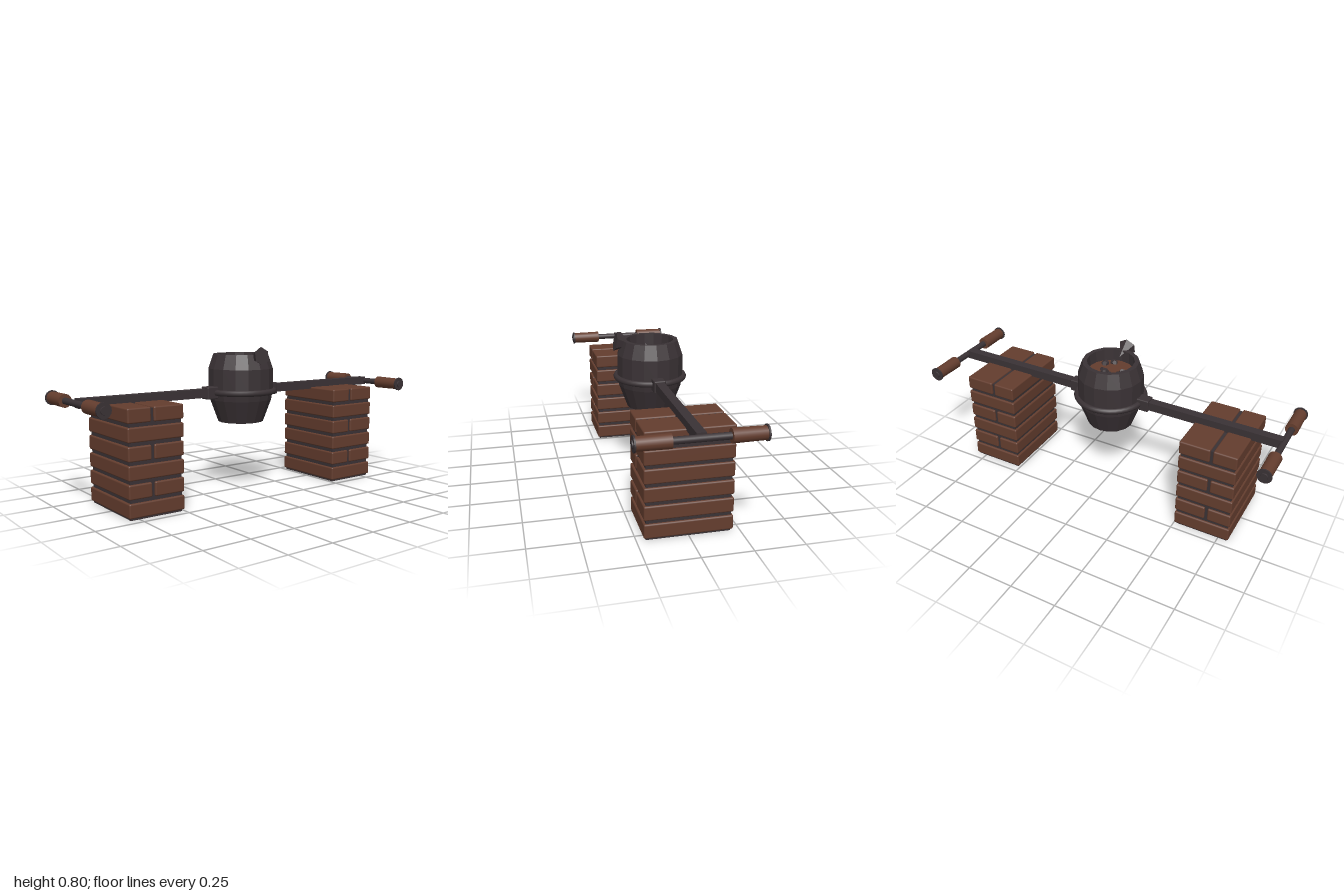
import * as THREE from 'three';
import { RoundedBoxGeometry } from 'three/addons/geometries/RoundedBoxGeometry.js';

export function createModel() {
  const root = new THREE.Group();
  const brick = new THREE.MeshStandardMaterial({ color: 0x643d2e });
  brick.name = 'red brown';
  const iron = new THREE.MeshStandardMaterial({ color: 0x3a3235 });
  iron.name = 'dark iron';
  const ironFacet = iron.clone();
  ironFacet.name = 'dark iron faceted';
  ironFacet.flatShading = true;

  const add = (parent, name, geo, mat, x = 0, y = 0, z = 0) => {
    const m = new THREE.Mesh(geo, mat);
    m.name = name;
    m.position.set(x, y, z);
    parent.add(m);
    return m;
  };

  // Brick pillars: full rows alternate with rows split into two bricks
  const W = 0.305, D = 0.432, H = 0.073, PITCH = 0.091, GAP = 0.016, SPLIT = -0.019;
  const makeBrick = (parent, x0, x1, y) => add(parent, 'brick',
    new RoundedBoxGeometry(x1 - x0, H, D, 2, 0.008), brick, (x0 + x1) / 2, y, 0);
  for (const x of [-0.655, 0.655]) {
    const pillar = new THREE.Group();
    pillar.name = 'brickPillar';
    pillar.position.x = x;
    add(pillar, 'mortarCore', new THREE.BoxGeometry(W - 0.022, 0.53, D - 0.022), iron, 0, 0.265, 0);
    for (let row = 0; row < 6; row++) {
      const y = 0.01 + H / 2 + row * PITCH;
      if (row % 2 === 0) makeBrick(pillar, -W / 2, W / 2, y);
      else {
        makeBrick(pillar, -W / 2, SPLIT - GAP / 2, y);
        makeBrick(pillar, SPLIT + GAP / 2, W / 2, y);
      }
    }
    root.add(pillar);
  }

  // Carrying arms with crossbars and hand grips
  const AXIS = 0.551;
  for (const s of [-1, 1]) {
    const arm = new THREE.Group();
    arm.name = s > 0 ? 'leftArm' : 'rightArm';
    add(arm, 'beam', new THREE.BoxGeometry(0.77, 0.046, 0.046), iron, s * 0.575, AXIS + 0.001, 0);
    add(arm, 'collar', new RoundedBoxGeometry(0.07, 0.066, 0.062, 2, 0.006), iron, s * 0.203, AXIS, 0);
    add(arm, 'crossbar', new THREE.CylinderGeometry(0.017, 0.017, 0.4, 12), iron, s * 0.962, AXIS, 0)
      .rotation.x = Math.PI / 2;
    for (const e of [-1, 1]) {
      const handle = new THREE.Group();
      handle.name = 'handle';
      handle.position.set(s * 0.962, AXIS, 0);
      handle.rotation.x = e * Math.PI / 2;
      add(handle, 'grip', new THREE.CylinderGeometry(0.032, 0.034, 0.158, 20), brick, 0, 0.211, 0);
      add(handle, 'endCap', new THREE.CylinderGeometry(0.038, 0.038, 0.008, 16), iron, 0, 0.294, 0);
      add(handle, 'endStud', new THREE.CylinderGeometry(0.018, 0.02, 0.008, 12), iron, 0, 0.3, 0);
      arm.add(handle);
    }
    root.add(arm);
  }

  // Mixing drum: faceted shell with an open, hollow top
  const drum = new THREE.Group();
  drum.name = 'drum';
  const profile = [
    [0, 0.383], [0.125, 0.383], [0.17, 0.505], [0.179, 0.56], [0.178, 0.675],
    [0.151, 0.753], [0.127, 0.753], [0.124, 0.66],
  ].map(([r, y]) => new THREE.Vector2(r, y));
  add(drum, 'drumShell', new THREE.LatheGeometry(profile, 16), ironFacet);
  add(drum, 'drumRing', new THREE.TorusGeometry(0.183, 0.016, 8, 40), iron, 0, AXIS, 0)
    .rotation.x = Math.PI / 2;

  // Mix inside the drum with loose stones on top
  add(drum, 'mix', new THREE.CylinderGeometry(0.125, 0.125, 0.02, 16), brick, 0, 0.68, 0);
  const stones = [
    [-0.055, -0.022, 0.025], [-0.065, 0.01, 0.024], [0.02, -0.026, 0.023], [0.037, -0.018, 0.022],
    [-0.01, -0.032, 0.016], [0.025, 0.083, 0.022], [0.065, 0.055, 0.024],
  ];
  stones.forEach(([x, z, r], i) => {
    const stone = add(drum, 'stone', new THREE.DodecahedronGeometry(r, 0), ironFacet, x, 0.692, z);
    stone.rotation.set(i, i * 1.7, i * 0.6);
    stone.scale.y = 0.7;
  });

  // Hexagonal pouring spout, its wide end facing forward and slightly up
  const spout = new THREE.ConeGeometry(0.05, 0.096, 6);
  spout.rotateX(-Math.PI / 2 - 0.2);
  add(drum, 'spout', spout, ironFacet, 0, 0.738, 0.143);
  root.add(drum);

  return root;
}
